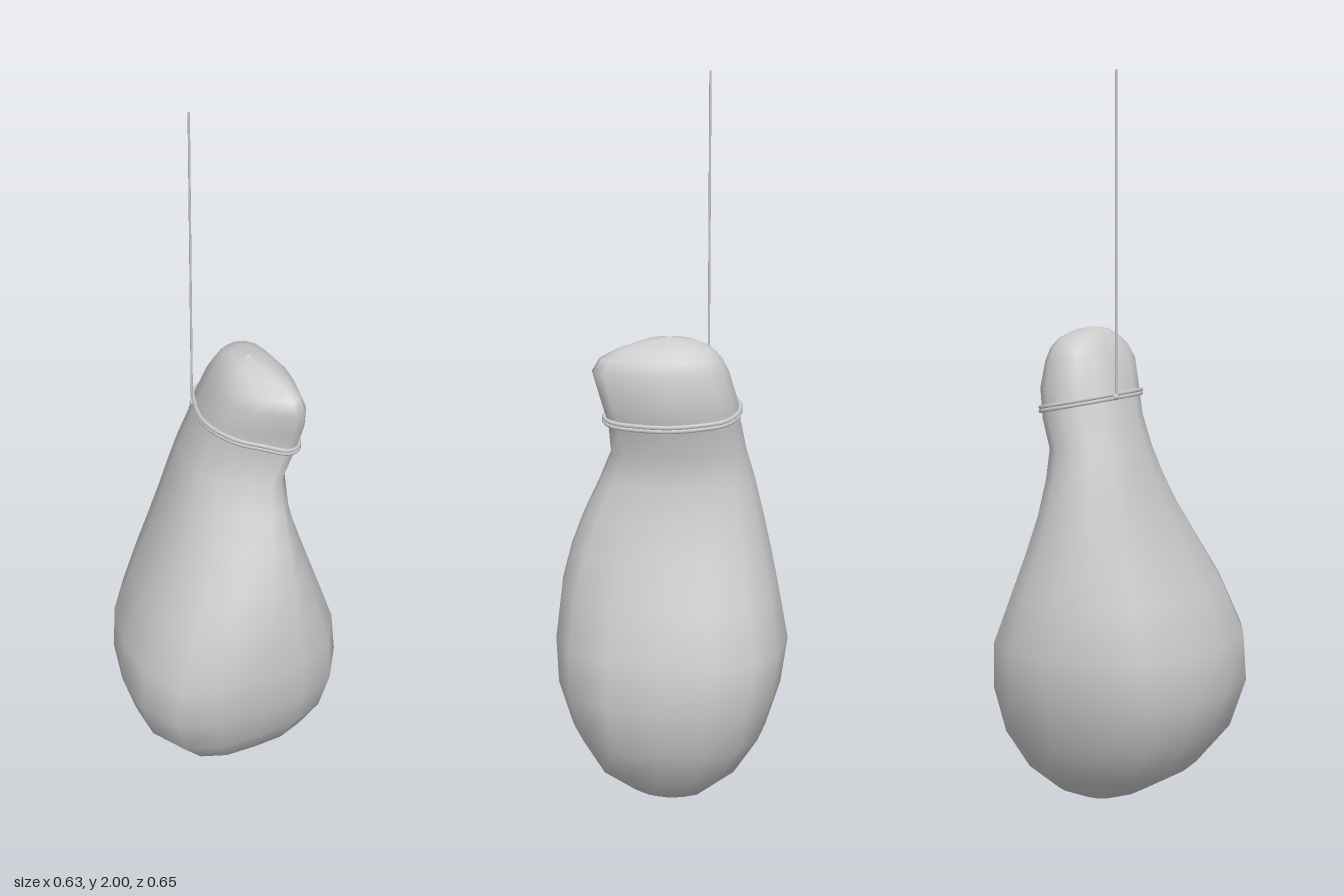
import * as THREE from 'three';

// Unit outlines [x, z], from the back round by +x to the front
const BODY = [[0.16, -1], [0.53, -0.95], [0.82, -0.77], [0.97, -0.44], [1, 0], [0.94, 0.45], [0.74, 0.79], [0.39, 0.95],
  [0, 0.99], [-0.42, 1], [-0.76, 0.88], [-0.97, 0.53], [-1, 0.09], [-0.92, -0.36], [-0.68, -0.74], [-0.31, -0.94]];
const NECK = [[0, -1], [0.4, -0.95], [0.7, -0.78], [0.88, -0.45], [1, 0], [0.97, 0.4], [0.85, 0.8], [0.7, 0.95],
  [0.45, 1], [0, 0.84], [-0.5, 0.64], [-0.85, 0.35], [-1, 0], [-0.9, -0.45], [-0.75, -0.75], [-0.4, -0.93]];

// Levels: y, left x, right x, back z, front z
const LEVELS = [
  [0, 0.07, 0.08, 0.005, 0.015], [0.012, 0, 0.12, -0.05, 0.06], [0.04, -0.07, 0.17, -0.11, 0.11],
  [0.11, -0.19, 0.238, -0.195, 0.21], [0.22, -0.278, 0.292, -0.265, 0.277], [0.35, -0.317, 0.316, -0.305, 0.318],
  [0.48, -0.307, 0.302, -0.323, 0.325], [0.62, -0.25, 0.252, -0.296, 0.307], [0.73, -0.2, 0.213, -0.273, 0.276],
  [0.83, -0.158, 0.181, -0.25, 0.237], [0.93, -0.122, 0.16, -0.226, 0.19], [1.01, -0.097, 0.156, -0.203, 0.157],
  [1.09, -0.068, 0.186, -0.19, 0.158], [1.17, -0.045, 0.199, -0.178, 0.178], [1.24, -0.02, 0.19, -0.158, 0.198],
  [1.275, 0, 0.177, -0.14, 0.178], [1.3, 0.018, 0.155, -0.115, 0.13], [1.318, 0.04, 0.12, -0.065, 0.07],
  [1.325, 0.075, 0.085, -0.005, 0.005],
];

// Point on a level's outline; the round body turns into the ridged neck
function surfacePoint([y, x0, x1, z0, z1], j) {
  const t = THREE.MathUtils.smoothstep(y, 0.45, 1.1);
  const [bx, bz] = BODY[j % 16], [nx, nz] = NECK[j % 16];
  const u = THREE.MathUtils.lerp(bx, nx, t), v = THREE.MathUtils.lerp(bz, nz, t);
  return new THREE.Vector3((x0 + x1) / 2 + u * (x1 - x0) / 2, y, (z0 + z1) / 2 + v * (z1 - z0) / 2);
}

function levelAt(y) {
  const i = LEVELS.findIndex(l => l[0] > y) - 1;
  const t = (y - LEVELS[i][0]) / (LEVELS[i + 1][0] - LEVELS[i][0]);
  return LEVELS[i].map((a, k) => THREE.MathUtils.lerp(a, LEVELS[i + 1][k], t));
}

function bodyGeometry() {
  const pos = [], index = [];
  LEVELS.forEach((level, i) => {
    for (let j = 0; j < 16; j++) {
      pos.push(...surfacePoint(level, j).toArray());
      if (i === LEVELS.length - 1) continue;
      const a = i * 16 + j, b = i * 16 + (j + 1) % 16;
      index.push(a, a + 16, b, b, a + 16, b + 16);
    }
  });
  const g = new THREE.BufferGeometry();
  g.setAttribute('position', new THREE.Float32BufferAttribute(pos, 3));
  g.setIndex(index);
  g.computeVertexNormals();
  return g;
}

// Slanted loop that hugs the neck
function loopCurve(lift) {
  const pts = [];
  for (let j = 0; j < 16; j++) {
    let p = surfacePoint(levelAt(1.13), j);
    for (let k = 0; k < 3; k++) p = surfacePoint(levelAt(1.156 - 0.22 * (p.x + 0.055) - 0.02 * p.z), j);
    const out = new THREE.Vector3(p.x - 0.07, 0, p.z).normalize();
    p.addScaledVector(out, 0.004);
    p.y += lift;
    pts.push(p);
  }
  return new THREE.CatmullRomCurve3(pts, true);
}

export function createModel() {
  const group = new THREE.Group();
  const material = new THREE.MeshStandardMaterial({ color: 0xcccccc });
  const add = (name, geometry, x = 0, y = 0, z = 0) => {
    const mesh = new THREE.Mesh(geometry, material);
    mesh.name = name;
    mesh.position.set(x, y, z);
    group.add(mesh);
  };

  add('body', bodyGeometry());

  // Cord wound twice around the neck
  for (const lift of [-0.005, 0.005]) {
    add('neckCord', new THREE.TubeGeometry(loopCurve(lift), 64, 0.006, 6, true));
  }

  // Hanging string and its knot
  add('string', new THREE.CylinderGeometry(0.003, 0.003, 0.85, 6), -0.045, 1.575, -0.092);
  add('knot', new THREE.SphereGeometry(0.009, 8, 6), -0.043, 1.152, -0.092);
  return group;
}
